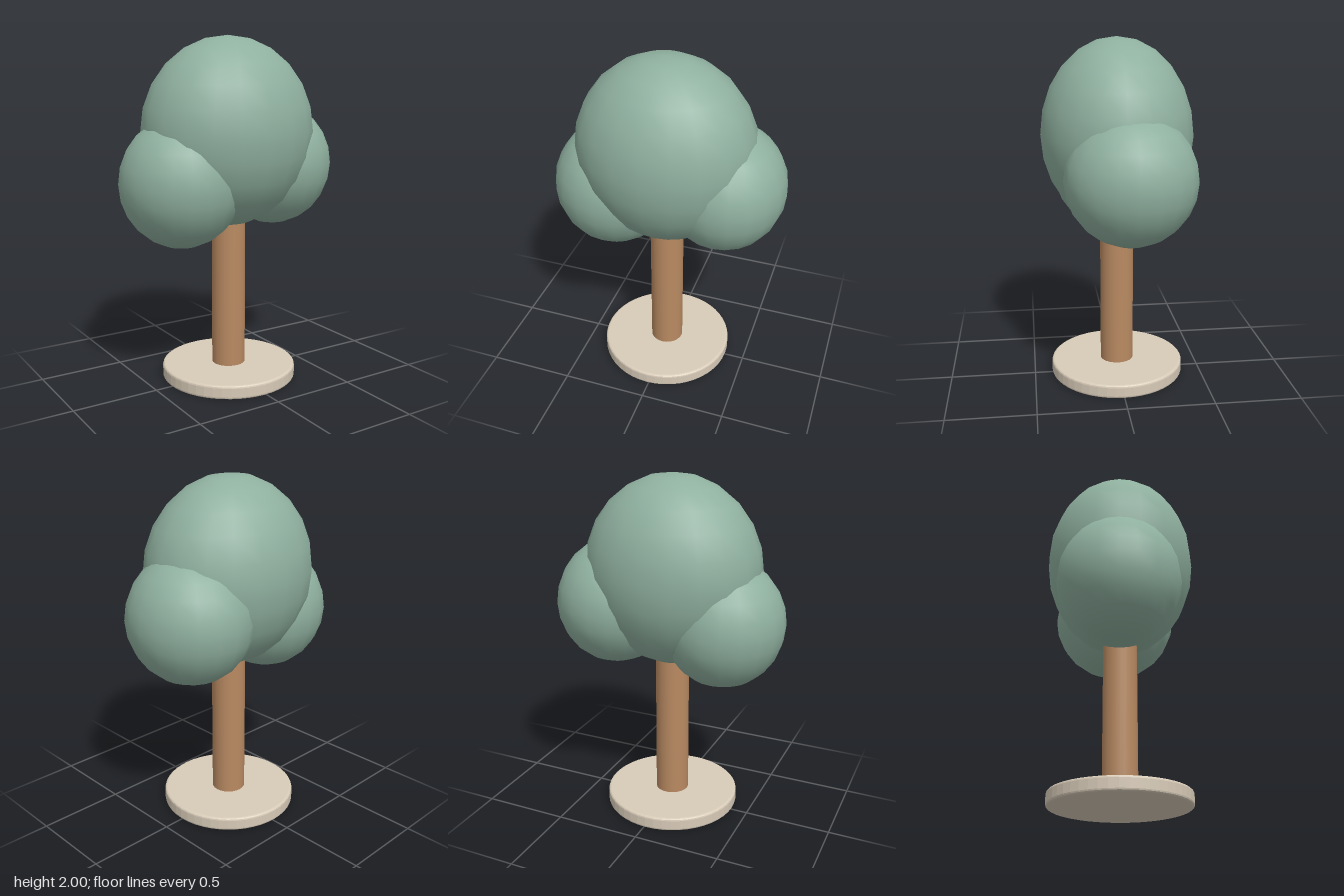
import * as THREE from 'three';

const material = (color) => new THREE.MeshStandardMaterial({ color });

export function createModel() {
  const tree = new THREE.Group();
  tree.name = 'tree';
  const leaf = material(0x8fb09f);
  const wood = material(0xb98a62);
  const stone = material(0xd8cbb8);
  const axisX = -0.01;

  const add = (name, geometry, mat, x, y, z) => {
    const mesh = new THREE.Mesh(geometry, mat);
    mesh.name = name;
    mesh.position.set(x, y, z);
    tree.add(mesh);
    return mesh;
  };

  // Round base disc with softly bevelled rims
  const radius = 0.395, height = 0.08, bevel = 0.014;
  const disc = new THREE.Shape().absarc(0, 0, radius - bevel, 0, Math.PI * 2, false);
  const baseGeometry = new THREE.ExtrudeGeometry(disc, {
    depth: height - 2 * bevel,
    bevelThickness: bevel,
    bevelSize: bevel,
    bevelSegments: 3,
    curveSegments: 24,
  });
  baseGeometry.rotateX(-Math.PI / 2);
  add('base', baseGeometry, stone, axisX, bevel, 0);

  // Trunk, running up into the crown
  const trunkTop = 1.1;
  add('trunk', new THREE.CylinderGeometry(0.098, 0.098, trunkTop - height + 0.01, 24),
    wood, axisX, (trunkTop + height - 0.01) / 2, 0);

  // Three overlapping foliage ellipsoids: name, centre, radii
  const foliage = [
    ['crown', [-0.014, 1.46, 0], [0.515, 0.54, 0.433]],
    ['rightFoliage', [-0.32, 1.19, 0], [0.352, 0.37, 0.35]],
    ['leftFoliage', [0.32, 1.26, -0.04], [0.347, 0.367, 0.366]],
  ];
  for (const [name, centre, radii] of foliage) {
    add(name, new THREE.SphereGeometry(1, 20, 12), leaf, ...centre).scale.set(...radii);
  }
  return tree;
}
